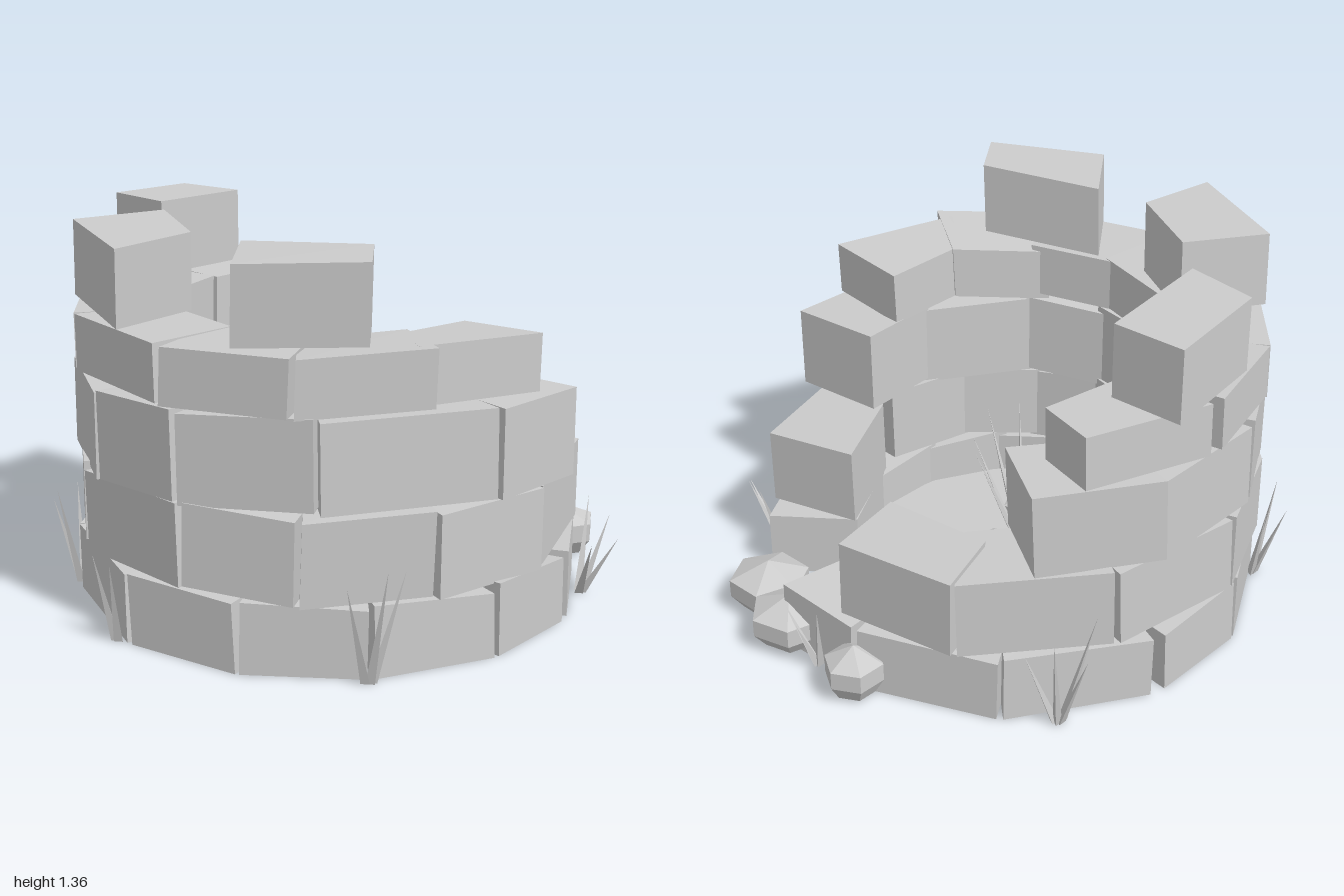
import * as THREE from 'three';

const CX = -0.02; // centre of the stone ring
const rad = THREE.MathUtils.degToRad;

// seeded random in -1..1
let seed = 11;
const rnd = () => {
  seed = (seed * 16807) % 2147483647;
  return (seed / 2147483647) * 2 - 1;
};

// split faces so every facet is flat
function facet(geo) {
  const g = geo.index ? geo.toNonIndexed() : geo;
  g.computeVertexNormals();
  return g;
}

// plan of a stone between two ring angles (degrees, 0 = front, 90 = +x);
// the inner side is cut wider than a true wedge, so neighbours overlap inside
function arcPlan(a0, a1) {
  const mid = (a0 + a1) / 2, half = (a1 - a0) / 2;
  const at = (a, r) => [CX + r * Math.sin(rad(a)), r * Math.cos(rad(a))];
  const inner = half * 1.2, outer = half - 0.7;
  return [at(mid - inner, 0.575), at(mid + inner, 0.575), at(mid + outer, 0.9), at(mid - outer, 0.9)];
}

// roughly cut block over a plan of four [x, z] corners:
// inner start, inner end, outer end, outer start
function stoneGeometry(plan, y0, y1) {
  const geo = new THREE.BoxGeometry(1, 1, 1);
  const p = geo.attributes.position;
  const tiltA = rnd() * 0.012, tiltR = rnd() * 0.008, skew = rnd() * 0.015;
  const [dx, dz] = [plan[2][0] - plan[3][0], plan[2][1] - plan[3][1]];
  for (let i = 0; i < p.count; i++) {
    const x = Math.sign(p.getX(i)), y = Math.sign(p.getY(i)), z = Math.sign(p.getZ(i));
    const c = plan[z < 0 ? (x < 0 ? 0 : 1) : (x < 0 ? 3 : 2)];
    const h = y < 0 && y0 === 0 ? 0 : (y < 0 ? y0 : y1) + x * tiltA + z * tiltR;
    p.setXYZ(i, c[0] + y * skew * dx, h, c[1] + y * skew * dz);
  }
  return facet(geo);
}

// courses from bottom to top: height range, ring stones by angle, odd stones by plan
const COURSES = [
  { y: [0, 0.24],
    arcs: [[-42, -13], [-13, 13], [15, 45], [96, 130], [130, 165], [167, 193], [193, 224],
      [224, 261], [261, 290], [290, 318]],
    plans: [[[0.53, 0.21], [0.55, -0.04], [0.86, -0.06], [0.87, 0.27]]] },
  { y: [0.255, 0.54],
    arcs: [[-28, 2], [-57, -28], [277, 303], [241, 277], [215, 241], [190, 215], [155, 190], [120, 155]],
    plans: [[[0.1, 0.55], [0.45, 0.35], [0.53, 0.7], [0.04, 0.87]],
      [[0.54, 0.06], [0.52, -0.37], [0.78, -0.46], [0.84, 0]]] },
  { y: [0.545, 0.85],
    arcs: [[-53, -13], [276, 307], [250, 276], [222, 250], [197, 222], [165, 197]],
    plans: [[[-0.15, 0.55], [0.16, 0.54], [0.18, 0.9], [-0.21, 0.88]],
      [[0.38, -0.34], [0.1, -0.56], [0.2, -0.88], [0.57, -0.63]]] },
  { y: [0.865, 1.06],
    arcs: [[-58, -28], [272, 302], [236, 272], [208, 236], [181, 208]],
    plans: [[[-0.31, 0.53], [0.02, 0.55], [-0.01, 0.88], [-0.46, 0.72]],
      [[0.38, -0.51], [0, -0.56], [0, -0.89], [0.45, -0.74]]] },
  { y: [1.085, 1.35],
    arcs: [],
    plans: [[[0.21, -0.64], [-0.24, -0.6], [-0.2, -0.87], [0.2, -0.91]],
      [[-0.37, -0.46], [-0.57, -0.14], [-0.89, -0.17], [-0.65, -0.62]],
      [[-0.56, 0.07], [-0.41, 0.5], [-0.61, 0.65], [-0.84, 0.28]]] },
];

// squat pebble with a flat base, an upright band and a pointed top
function pebbleGeometry(r, h, sides) {
  const profile = [[0, 0], [0.7, 0.04], [1, 0.33], [1, 0.68], [0, 1]]
    .map(([x, y]) => new THREE.Vector2(x * r, y * h));
  return facet(new THREE.LatheGeometry(profile, sides));
}

// thin three-sided blade leaning outwards
function bladeGeometry(height, lean, dir, width) {
  const geo = new THREE.ConeGeometry(width, height, 3);
  geo.translate(0, height / 2, 0);
  const p = geo.attributes.position;
  for (let i = 0; i < p.count; i++) {
    const bend = lean * p.getY(i) / height;
    p.setX(i, p.getX(i) + Math.sin(dir) * bend);
    p.setZ(i, p.getZ(i) + Math.cos(dir) * bend);
  }
  return facet(geo);
}

export function createModel() {
  const model = new THREE.Group();
  model.name = 'ruinedTower';
  const stone = new THREE.MeshStandardMaterial({ color: 0xcccccc });
  stone.name = 'paleGreyStone';

  const add = (parent, geo, name, x = 0, y = 0, z = 0) => {
    const mesh = new THREE.Mesh(geo, stone);
    mesh.name = name;
    mesh.position.set(x, y, z);
    parent.add(mesh);
    return mesh;
  };

  // round floor
  const floor = add(model, facet(new THREE.CylinderGeometry(0.58, 0.58, 0.075, 12)), 'floor', CX, 0.0425, 0);
  floor.rotation.y = rad(8);

  // broken wall
  COURSES.forEach(({ y, arcs, plans }, i) => {
    const group = new THREE.Group();
    group.name = `wallCourse${i + 1}`;
    for (const plan of [...arcs.map((a) => arcPlan(...a)), ...plans]) {
      add(group, stoneGeometry(plan, ...y), 'wallStone');
    }
    model.add(group);
  });

  // pebbles outside the gap and on the floor: x, z, y, radius, height, sides
  const pebbles = [
    [0.76, 0.48, 0.005, 0.145, 0.19, 6],
    [0.845, 0.27, 0.005, 0.145, 0.19, 6],
    [0.895, -0.11, 0.005, 0.105, 0.19, 6],
    [-0.11, -0.16, 0.075, 0.1, 0.14, 6],
    [-0.2, 0.07, 0.075, 0.105, 0.14, 6],
    [0.1, -0.02, 0.075, 0.1, 0.14, 6],
  ];
  pebbles.forEach(([x, z, y, r, h, sides], i) => {
    const mesh = add(model, pebbleGeometry(r, h, sides), 'pebble', x, y, z);
    mesh.rotation.y = i * 1.3;
  });

  // grass tufts: x, z, y, blade count, height, lean, middle direction, spread (degrees)
  const tufts = [
    [-0.05, -0.03, 0.075, 9, 0.58, 0.22, 0, 360],
    [-0.9, -0.19, 0, 3, 0.34, 0.09, 250, 160],
    [-0.6, -0.68, 0, 3, 0.4, 0.11, 200, 150],
    [-0.64, 0.67, 0, 3, 0.46, 0.13, 330, 160],
    [0.45, 0.77, 0, 4, 0.32, 0.14, 30, 200],
    [0.54, -0.72, 0, 4, 0.42, 0.14, 150, 200],
    [0.87, 0.1, 0, 3, 0.3, 0.1, 90, 140],
  ];
  for (const [x, z, y, count, height, lean, mid, spread] of tufts) {
    const tuft = new THREE.Group();
    tuft.name = 'grassTuft';
    tuft.position.set(x, y, z);
    for (let i = 0; i < count; i++) {
      const dir = rad(mid + spread * ((i + 0.5) / count - 0.5) + rnd() * 8);
      const h = height * (0.85 + rnd() * 0.15);
      add(tuft, bladeGeometry(h, lean * (0.85 + rnd() * 0.15), dir, 0.018), 'grassBlade',
        Math.sin(dir) * 0.015, 0, Math.cos(dir) * 0.015);
    }
    model.add(tuft);
  }
  return model;
}
